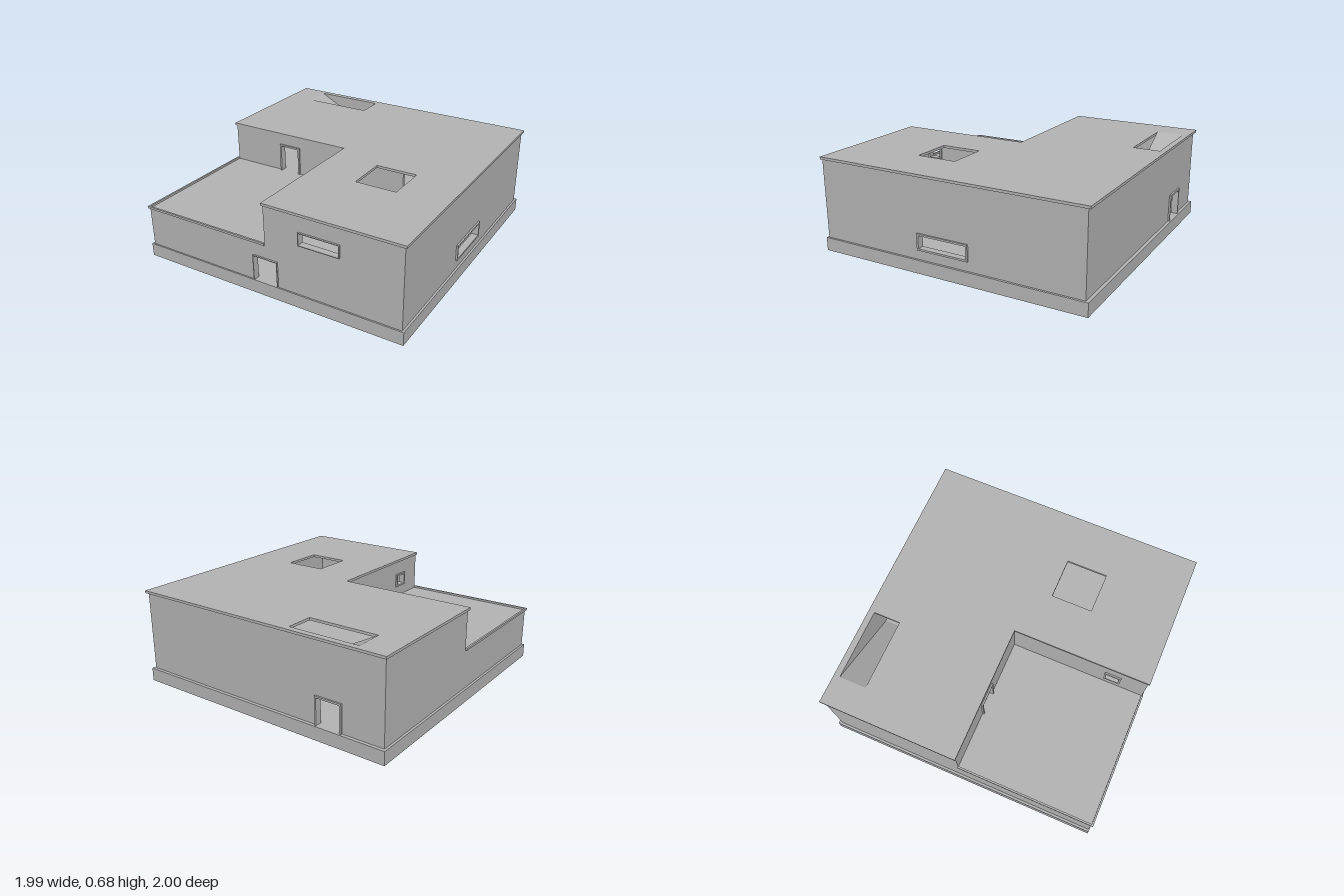
import * as THREE from 'three';

const T = 0.025; // wall thickness
const FLOOR = 0.095, UPPER = 0.38, TOP = 0.662;

const toShape = (pts) => new THREE.Shape(pts.map(([x, y]) => new THREE.Vector2(x, y)));
const rect = (x0, x1, y0, y1) => [[x0, y0], [x1, y0], [x1, y1], [x0, y1]];

export function createModel() {
  const group = new THREE.Group();
  const grey = new THREE.MeshStandardMaterial({ color: 0xb2b2b2 });
  grey.name = 'plaster grey';

  function add(name, geometry) {
    const mesh = new THREE.Mesh(geometry, grey);
    mesh.name = name;
    group.add(mesh);
  }
  function extrude(points, holes, depth) {
    const shape = toShape(points);
    holes.forEach((h) => shape.holes.push(toShape(h)));
    return new THREE.ExtrudeGeometry(shape, { depth, bevelEnabled: false });
  }
  // Panel with (x, y) outline, from z0 to z0 + depth
  const alongX = (name, pts, holes, z0, depth = T) =>
    add(name, extrude(pts, holes, depth).translate(0, 0, z0));
  // Panel with (z, y) outline, from x0 to x0 + depth
  const alongZ = (name, pts, holes, x0, depth = T) =>
    add(name, extrude(pts, holes, depth).rotateY(-Math.PI / 2).translate(x0 + depth, 0, 0));
  // Plate with (x, z) outline, its top at height y
  const plate = (name, pts, holes, y, depth) =>
    add(name, extrude(pts, holes, depth).rotateX(Math.PI / 2).translate(0, y, 0));

  // Frame outline of border b; a door frame stays open at the bottom
  function frame(make, name, [x0, x1, y0, y1], b, at, door) {
    const outer = door
      ? [[x0, y0], [x0 + b, y0], [x0 + b, y1 - b], [x1 - b, y1 - b], [x1 - b, y0], [x1, y0], [x1, y1], [x0, y1]]
      : rect(x0, x1, y0, y1);
    const holes = door ? [] : [rect(x0 + b, x1 - b, y0 + b, y1 - b)];
    make(name, outer, holes, at - 0.012, T + 0.024);
  }
  const inset = ([x0, x1, y0, y1], b) => rect(x0 + b, x1 - b, y0 + b, y1 - b);
  // Points of a door notch in the bottom edge of a wall
  const notch = ([x0, x1, y0, y1], b) => [[x0 + b, y0], [x0 + b, y1 - b], [x1 - b, y1 - b], [x1 - b, y0]];

  // Openings: [start, end, bottom, top] and frame borders
  const frontDoor = [-0.095, 0.095, FLOOR, 0.283];
  const backDoor = [-0.68, -0.48, FLOOR, 0.295];
  const terraceDoor = [-0.57, -0.395, UPPER, 0.592];
  const frontWindow = [0.26, 0.555, 0.458, 0.55];
  const sideWindow = [-0.172, 0.215, 0.163, 0.279];
  const terraceWindow = [0.69, 0.81, 0.458, 0.56];
  const thin = 0.005, wide = 0.013;

  // Plinth skirt, open below, with the ground floor inside
  plate('plinth', rect(-0.997, 0.995, -0.998, 1), [rect(-0.992, 0.99, -0.993, 0.995)], FLOOR, FLOOR);
  plate('groundFloor', rect(-0.992, 0.99, -0.993, 0.995), [], FLOOR, 0.008);

  // Outer walls
  alongX('frontWall', [[-0.98, FLOOR], ...notch(frontDoor, thin), [0.98, FLOOR], [0.98, TOP],
    [0, TOP], [0, UPPER], [-0.98, UPPER]], [inset(frontWindow, thin)], 0.99 - T);
  alongX('backWall', [[-0.98, FLOOR], ...notch(backDoor, wide), [0.98, FLOOR], [0.98, TOP], [-0.98, TOP]],
    [], -0.975);
  alongZ('rightWall', rect(-0.95, 0.965, FLOOR, TOP), [inset(sideWindow, wide)], 0.98 - T);
  alongZ('leftWall', [[-0.95, FLOOR], [0.965, FLOOR], [0.965, UPPER], [0, UPPER], [0, TOP], [-0.95, TOP]],
    [], -0.98);

  // Walls around the terrace; the first runs on indoors as a partition
  alongX('terraceWall', [[-0.955, UPPER], ...notch(terraceDoor, wide), [0.47, UPPER], [0.47, TOP], [-0.955, TOP]],
    [], -T);
  alongZ('terraceSideWall', rect(0, 0.965, UPPER, TOP), [inset(terraceWindow, wide)], 0);

  // Upper floor and terrace deck
  plate('upperFloor', rect(-0.955, 0.955, -0.95, 0.965), [], UPPER, 0.018);

  // Low terrace coping
  plate('terraceCoping', [[-0.992, 0], [-0.978, 0], [-0.978, 0.986], [0, 0.986], [0, 0.999], [-0.992, 0.999]],
    [], 0.394, 0.016);

  // Door and window frames
  frame(alongX, 'frontDoorFrame', frontDoor, thin, 0.99 - T, true);
  frame(alongX, 'backDoorFrame', backDoor, wide, -0.975, true);
  frame(alongX, 'terraceDoorFrame', terraceDoor, wide, -T, true);
  frame(alongX, 'frontWindowFrame', frontWindow, thin, 0.99 - T, false);
  frame(alongZ, 'sideWindowFrame', sideWindow, wide, 0.98 - T, false);
  frame(alongZ, 'terraceWindowFrame', terraceWindow, wide, 0, false);

  // L-shaped roof with skylight and stair opening
  plate('roof', [[-0.994, -0.994], [0.992, -0.994], [0.992, 1], [-0.008, 1], [-0.008, 0.005], [-0.994, 0.005]],
    [rect(0.34, 0.637, 0.145, 0.44), rect(-0.785, -0.27, -0.95, -0.755)], 0.68, 0.018);

  // Sloping stair slab from the roof opening to the upper floor
  alongX('stairRamp', [[-0.785, 0.66], [-0.245, UPPER], [-0.205, UPPER], [-0.785, 0.68]], [], -0.949, 0.194);

  return group;
}
